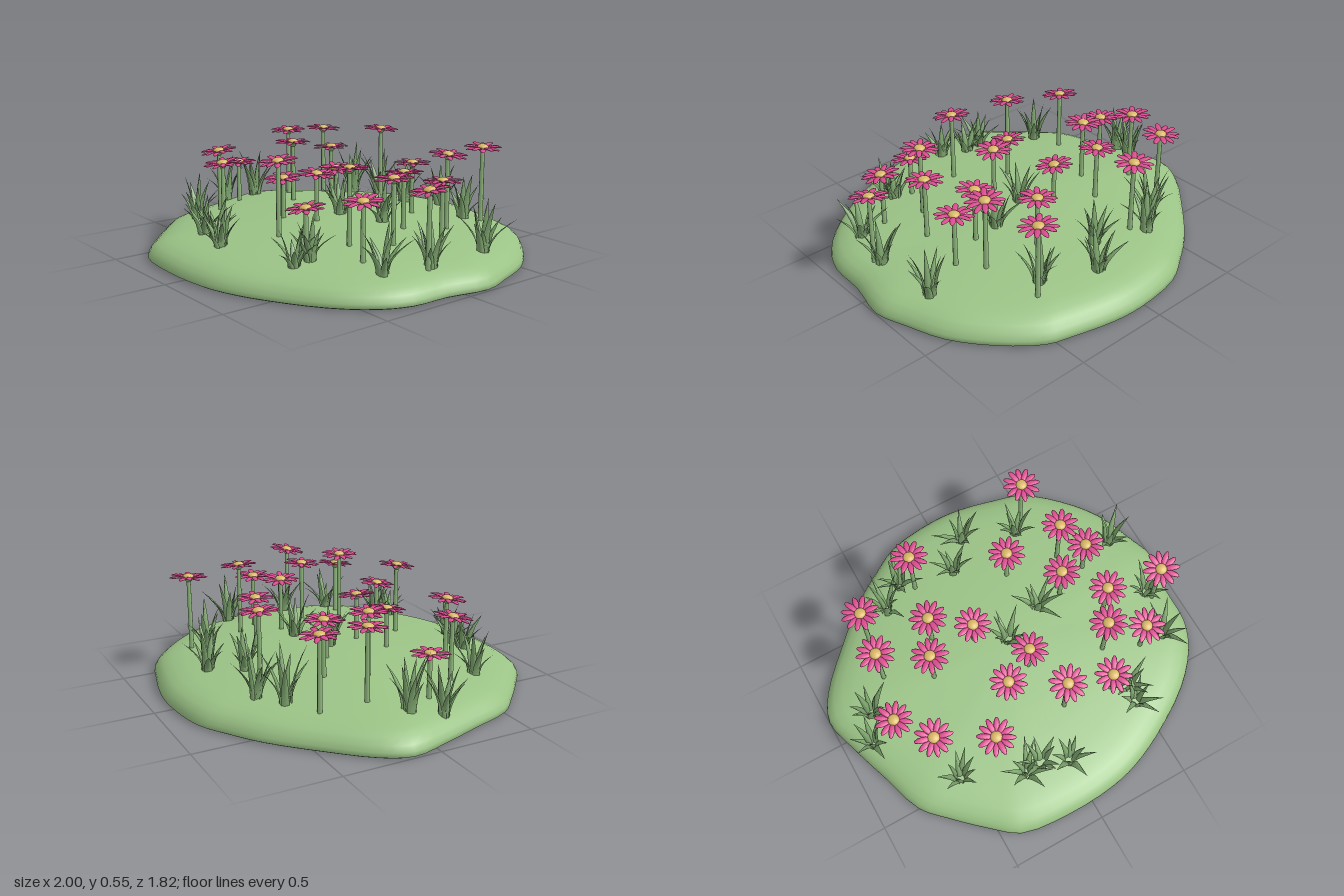
import * as THREE from 'three';
import { mergeGeometries } from 'three/addons/utils/BufferGeometryUtils.js';

const mat = (name, color, extra = {}) => new THREE.MeshStandardMaterial({ name, color, ...extra });
const meadowGreen = mat('meadowGreen', 0x9bc386);
const grassGreen = mat('grassGreen', 0x80a870, { side: THREE.DoubleSide });
const stemGreen = mat('stemGreen', 0x90b87e);
const petalPink = mat('petalPink', 0xdb4c90);
const centreYellow = mat('centreYellow', 0xd9b766);

// Small seeded generator
let seed = 11;
const rand = (a = 0, b = 1) => {
  seed = (seed * 16807) % 2147483647;
  return a + (b - a) * seed / 2147483647;
};

// Mound outline (x, z) and profile (outline scale, height)
const OUTLINE = [
  [0.03, -0.91], [0.2, -0.9], [0.42, -0.85], [0.55, -0.81], [0.73, -0.66], [0.87, -0.48], [0.95, -0.28],
  [1, -0.12], [0.96, 0.1], [0.95, 0.3], [0.885, 0.45], [0.735, 0.61], [0.48, 0.77], [0.3, 0.85],
  [0.14, 0.89], [-0.13, 0.905], [-0.4, 0.87], [-0.53, 0.77], [-0.69, 0.62], [-0.8, 0.5], [-0.88, 0.27],
  [-0.95, 0.06], [-1, -0.14], [-0.94, -0.28], [-0.77, -0.47], [-0.56, -0.67], [-0.4, -0.78], [-0.24, -0.87],
];
const PROFILE = [
  [1, 0.008], [0.996, 0.03], [0.98, 0.057], [0.95, 0.082], [0.9, 0.104], [0.83, 0.12],
  [0.72, 0.136], [0.56, 0.153], [0.38, 0.167], [0.2, 0.177], [0, 0.181],
];
const UNDERSIDE = [[0, 0], [0.5, 0], [0.94, 0], [0.985, 0]];
const SEG = 84;
const rim = new THREE.CatmullRomCurve3(OUTLINE.map(([x, z]) => new THREE.Vector3(x, 0, z)), true)
  .getPoints(SEG).slice(0, SEG);
const tilt = (y, z) => y * (1 - 0.05 * z);

// Height of the mound surface under a point
function groundY(x, z) {
  const r = Math.hypot(x, z);
  let best = rim[0], dot = -2;
  for (const p of rim) {
    const d = (p.x * x + p.z * z) / (p.length() * r);
    if (d > dot) { dot = d; best = p; }
  }
  const s = Math.min(0.999, r / best.length());
  const i = PROFILE.findIndex(([k]) => k <= s);
  const [s0, y0] = PROFILE[i - 1], [s1, y1] = PROFILE[i];
  return tilt(y0 + (y1 - y0) * (s - s0) / (s1 - s0), z);
}

// Closed mound: rings from the middle of the flat base out and up to the crown
function moundGeometry() {
  const rings = [...UNDERSIDE, ...PROFILE], pos = [], index = [];
  for (const [s, y] of rings) for (const p of rim) pos.push(p.x * s, tilt(y, p.z * s), p.z * s);
  for (let j = 0; j < rings.length - 1; j++) {
    for (let i = 0; i < SEG; i++) {
      const a = j * SEG + i, b = j * SEG + (i + 1) % SEG;
      if (j > 0) index.push(a, a + SEG, b);
      if (j < rings.length - 2) index.push(b, a + SEG, b + SEG);
    }
  }
  const g = new THREE.BufferGeometry();
  g.setAttribute('position', new THREE.Float32BufferAttribute(pos, 3));
  g.setIndex(index);
  g.computeVertexNormals();
  // Centre points share one straight normal
  const n = g.attributes.normal, last = (rings.length - 1) * SEG;
  for (let i = 0; i < SEG; i++) {
    n.setXYZ(i, 0, -1, 0);
    n.setXYZ(last + i, 0, 1, 0);
  }
  return g;
}

// Tapered blade with a diamond section, bent towards +x
function bladeGeometry(height, bend, width) {
  const g = new THREE.ConeGeometry(1, 1, 4, 6, true);
  const p = g.attributes.position;
  for (let i = 0; i < p.count; i++) {
    const t = p.getY(i) + 0.5, w = width * (1 + 1.1 * t);
    p.setXYZ(i, p.getX(i) * w * 0.3 + bend * t * t, height * t, p.getZ(i) * w);
  }
  g.computeVertexNormals();
  return g;
}

function tuftGeometry(height) {
  const blades = [], n = 9;
  for (let i = 0; i < n; i++) {
    const inner = i % 3 === 0;
    const h = height * (inner ? rand(0.85, 1.05) : rand(0.5, 0.85));
    const g = bladeGeometry(h, inner ? rand(0.03, 0.08) : rand(0.06, 0.14), rand(0.016, 0.021));
    g.translate(rand(0.01, 0.03), 0, 0);
    g.rotateY(i / n * Math.PI * 2 + rand(-0.3, 0.3));
    blades.push(g);
  }
  return mergeGeometries(blades);
}

// Ring of slender petals that arch up and dip at the tip
function petalGeometry() {
  const petals = [], n = 12;
  for (let i = 0; i < n; i++) {
    const g = new THREE.SphereGeometry(1, 8, 6);
    g.rotateZ(Math.PI / 2);
    g.scale(0.041, 0.005, 0.0155);
    g.translate(0.058, 0, 0);
    const p = g.attributes.position;
    for (let k = 0; k < p.count; k++) {
      const t = p.getX(k) / 0.1;
      p.setY(k, p.getY(k) + 0.045 * t * (1 - 0.75 * t) + (i % 2 ? 0.003 : -0.003));
    }
    g.computeVertexNormals();
    g.rotateY(i / n * Math.PI * 2);
    petals.push(g);
  }
  return mergeGeometries(petals);
}

// Flowers: x, z, head height
const FLOWERS = [
  [-0.26, -0.55, 0.53], [-0.61, -0.41, 0.5], [-0.64, -0.18, 0.51], [-0.32, -0.24, 0.455],
  [-0.41, -0.045, 0.49], [-0.13, -0.125, 0.38], [0.205, -0.365, 0.435], [0.445, -0.635, 0.52],
  [0.5, -0.33, 0.53], [0.59, -0.21, 0.43], [0.4, -0.13, 0.45], [0.55, 0.07, 0.475],
  [0.84, 0.115, 0.48], [0.44, 0.25, 0.53], [0.63, 0.325, 0.42], [0.365, 0.45, 0.355],
  [0.105, 0.42, 0.53], [0.05, 0.145, 0.42], [-0.12, 0.23, 0.38], [-0.32, 0.465, 0.455],
  [-0.585, 0.32, 0.46], [-0.71, 0.115, 0.35],
];

// Grass tufts: x, z, height
const TUFTS = [
  [0.095, -0.68, 0.25], [-0.035, -0.53, 0.24], [-0.33, -0.6, 0.27], [-0.45, -0.51, 0.29],
  [0.375, -0.575, 0.25], [0.8, -0.28, 0.27], [0.255, -0.115, 0.24], [0.02, -0.025, 0.22],
  [-0.785, -0.04, 0.29], [-0.85, 0.11, 0.29], [-0.545, 0.49, 0.24], [-0.24, 0.63, 0.2],
  [-0.15, 0.62, 0.19], [-0.01, 0.68, 0.21], [0.45, 0.58, 0.2], [0.45, 0.49, 0.22],
  [0.77, 0.325, 0.24], [0.82, 0.08, 0.24],
];

export function createModel() {
  const model = new THREE.Group();
  model.name = 'flowerMeadow';
  const add = (parent, name, geometry, material, x = 0, y = 0, z = 0) => {
    const m = new THREE.Mesh(geometry, material);
    m.name = name;
    m.position.set(x, y, z);
    parent.add(m);
    return m;
  };

  add(model, 'mound', moundGeometry(), meadowGreen);

  const petals = petalGeometry();
  const centre = new THREE.SphereGeometry(0.03, 14, 8).scale(1, 0.55, 1);
  const calyx = new THREE.CylinderGeometry(0.026, 0.012, 0.016, 10);
  for (const [x, z, top] of FLOWERS) {
    const flower = new THREE.Group();
    flower.name = 'flower';
    const base = groundY(x, z) - 0.01, h = top - base - 0.012;
    flower.position.set(x, base, z);
    add(flower, 'stem', new THREE.CylinderGeometry(0.011, 0.013, h, 8), stemGreen, 0, h / 2, 0);

    const head = new THREE.Group();
    head.name = 'flowerHead';
    head.position.y = h;
    head.rotation.set(rand(-0.06, 0.16), rand(0, 0.5), rand(-0.12, 0.12));
    add(head, 'calyx', calyx, stemGreen, 0, -0.004, 0);
    add(head, 'petals', petals, petalPink);
    add(head, 'flowerCentre', centre, centreYellow, 0, 0.014, 0);
    flower.add(head);
    model.add(flower);
  }

  for (const [x, z, h] of TUFTS) {
    add(model, 'grassTuft', tuftGeometry(h), grassGreen, x, groundY(x, z) - 0.012, z);
  }
  return model;
}
